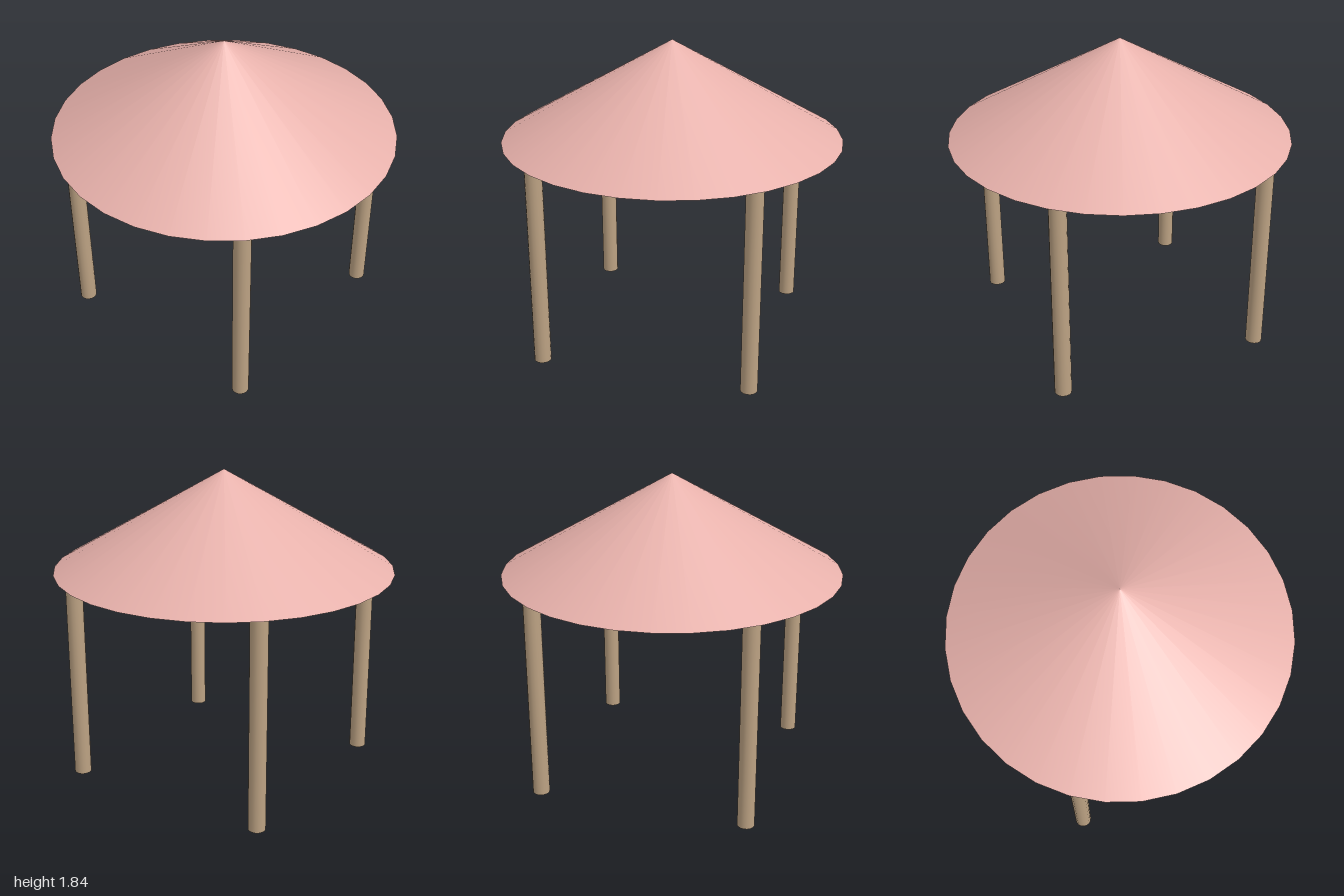
import * as THREE from 'three';

export function createModel() {
  const model = new THREE.Group();
  model.name = 'pavilion';

  const roofPink = new THREE.MeshStandardMaterial({ color: 0xe6b0aa });
  roofPink.name = 'roof pink';
  const postWood = new THREE.MeshStandardMaterial({ color: 0xbca283 });
  postWood.name = 'post wood';

  const eaveHeight = 1.255;
  const roofHeight = 0.58;
  const postRadius = 0.05;
  const postOffset = 0.625;

  // Conical roof with a closed underside
  const roof = new THREE.Mesh(new THREE.ConeGeometry(1, roofHeight, 32), roofPink);
  roof.name = 'roof';
  roof.position.y = eaveHeight + roofHeight / 2;
  model.add(roof);

  // Four round posts, one at each corner
  const postGeometry = new THREE.CylinderGeometry(postRadius, postRadius, eaveHeight, 16);
  for (const [sideName, x] of [['Left', 1], ['Right', -1]]) {
    for (const [endName, z] of [['front', 1], ['back', -1]]) {
      const post = new THREE.Mesh(postGeometry, postWood);
      post.name = `${endName}${sideName}Post`;
      post.position.set(x * postOffset, eaveHeight / 2, z * postOffset);
      model.add(post);
    }
  }

  return model;
}
